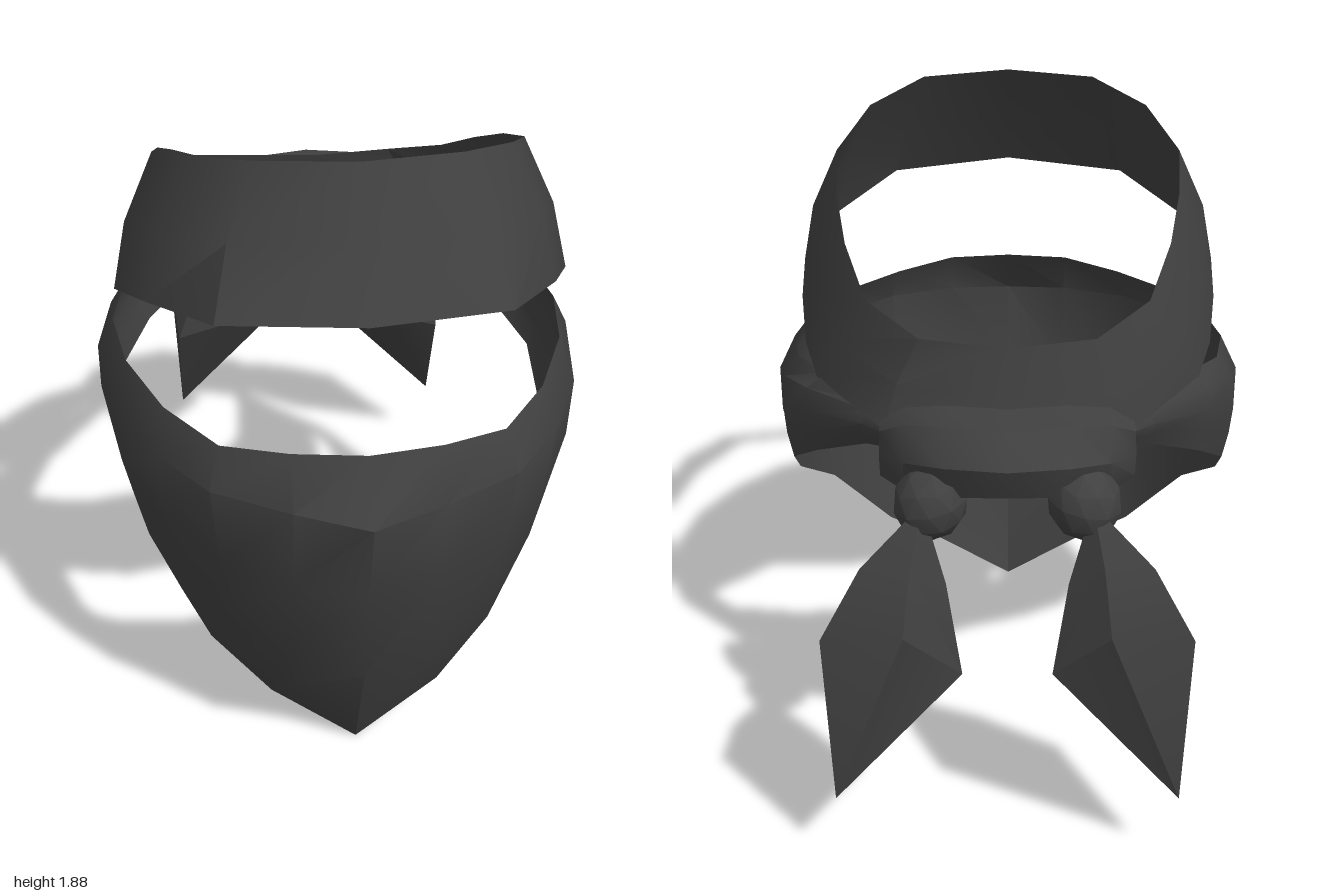
import * as THREE from 'three';
import { toCreasedNormals } from 'three/addons/utils/BufferGeometryUtils.js';

const cloth = new THREE.MeshStandardMaterial({ color: 0x404040, side: THREE.DoubleSide });
cloth.name = 'charcoal cloth';

// Skin a list of cross-sections (each a list of points); optionally close each section.
function skin(name, sections, closed = false, crease = 0.7) {
  const n = sections[0].length, index = [];
  for (let i = 0; i < sections.length - 1; i++) {
    for (let j = 0; j < (closed ? n : n - 1); j++) {
      const a = i * n + j, b = i * n + (j + 1) % n;
      index.push(a, a + n, b, b, a + n, b + n);
    }
  }
  const geo = new THREE.BufferGeometry();
  geo.setAttribute('position', new THREE.Float32BufferAttribute(sections.flat(2), 3));
  geo.setIndex(index);
  const mesh = new THREE.Mesh(toCreasedNormals(geo, crease), cloth);
  mesh.name = name;
  return mesh;
}

// Mirror half of the sections (first one at x = 0) to the other side.
const flip = (section) => section.map(([x, y, z]) => [-x, y, z]);
const mirrored = (half) => [...half.slice(1).reverse().map(flip), ...half];

function headband() {
  const top = [
    [0, 1.88, 0.66], [0.27, 1.87, 0.6], [0.43, 1.82, 0.43], [0.515, 1.74, 0.2], [0.5, 1.67, 0],
    [0.46, 1.58, -0.2], [0.39, 1.48, -0.39], [0.24, 1.42, -0.52], [0, 1.4, -0.54],
  ];
  const bottom = [
    [0, 1.53, 0.87], [0.38, 1.51, 0.78], [0.55, 1.45, 0.52], [0.64, 1.37, 0.28], [0.63, 1.31, 0.1],
    [0.6, 1.24, -0.1], [0.55, 1.2, -0.27], [0.34, 1.16, -0.54], [0, 1.15, -0.62],
  ];
  // A middle row swells slightly sideways.
  const half = top.map((t, i) => {
    const b = bottom[i];
    return [t, [(t[0] + b[0]) * 0.52, (t[1] + b[1]) / 2, (t[2] + b[2]) / 2], b];
  });
  return skin('headband', mirrored(half));
}

function faceMask() {
  // Each section runs: top hem, fold ridge, middle, lower, hem.
  const half = [
    [[0, 1.17, 0.89], [0, 1.01, 1.0], [0, 0.75, 0.93], [0, 0.4, 0.85], [0, 0, 0.66]],
    [[0.2, 1.17, 0.86], [0.2, 1.03, 0.93], [0.2, 0.76, 0.88], [0.22, 0.45, 0.8], [0.25, 0.17, 0.62]],
    [[0.38, 1.15, 0.77], [0.41, 1.04, 0.82], [0.39, 0.78, 0.78], [0.4, 0.53, 0.68], [0.42, 0.31, 0.52]],
    [[0.52, 1.16, 0.58], [0.55, 1.05, 0.64], [0.53, 0.83, 0.62], [0.52, 0.64, 0.56], [0.5, 0.43, 0.44]],
    [[0.62, 1.18, 0.35], [0.66, 1.06, 0.4], [0.65, 0.88, 0.4], [0.62, 0.73, 0.38], [0.59, 0.57, 0.34]],
    [[0.66, 1.18, 0.1], [0.71, 1.08, 0.08], [0.71, 0.94, 0.08], [0.69, 0.84, 0.08], [0.66, 0.75, 0.05]],
    [[0.62, 1.2, -0.12], [0.67, 1.13, -0.1], [0.68, 1.03, -0.1], [0.67, 0.95, -0.12], [0.65, 0.88, -0.14]],
    [[0.52, 1.22, -0.28], [0.58, 1.17, -0.28], [0.59, 1.1, -0.28], [0.58, 1.03, -0.28], [0.56, 0.97, -0.28]],
    [[0.36, 1.2, -0.46], [0.39, 1.18, -0.46], [0.41, 1.14, -0.46], [0.41, 1.1, -0.44], [0.4, 1.06, -0.42]],
    [[0.22, 1.18, -0.64], [0.23, 1.17, -0.64], [0.24, 1.15, -0.63], [0.24, 1.14, -0.62], [0.23, 1.12, -0.61]],
  ];
  return skin('faceMask', mirrored(half));
}

// Rounded, slightly irregular ring in the y-z plane.
function ring(x, yc, zc, ry, rz) {
  return Array.from({ length: 7 }, (_, k) => {
    const a = (k / 7) * Math.PI * 2 + 0.3;
    return [x, yc + ry * Math.sin(a), zc + rz * Math.cos(a)];
  });
}

// Broad wrapped cloth behind the head.
function knotWrap() {
  const half = [
    [0, 1.2, -0.77, 0.11, 0.145], [0.16, 1.19, -0.74, 0.12, 0.135], [0.27, 1.17, -0.69, 0.115, 0.11],
    [0.34, 1.15, -0.645, 0.08, 0.06], [0.34, 1.15, -0.645, 0.001, 0.001],
  ].map((s) => ring(...s));
  return skin('knotWrap', mirrored(half), true);
}

// Small tied lump above each tail.
function knotLump(side) {
  const geo = new THREE.IcosahedronGeometry(0.11, 1);
  geo.scale(0.9, 1, 0.95);
  const mesh = new THREE.Mesh(toCreasedNormals(geo, 0.5), cloth);
  mesh.position.set(side * 0.2, 1.08, -0.8);
  mesh.rotation.z = side * 0.4;
  mesh.name = side > 0 ? 'leftKnotLump' : 'rightKnotLump';
  return mesh;
}

// Leaf-shaped hanging end of the cloth.
function tail(side) {
  const top = [0.22, 1.1, -0.86], tip = [0.47, 0.24, -0.96];
  const middle = [[0.12, 0.62, -0.92], [0.27, 0.78, -1.0], [0.49, 0.75, -0.96], [0.47, 0.6, -0.8], [0.28, 0.66, -0.79]];
  const neck = middle.map((p) => p.map((v, i) => top[i] + (v - top[i]) * (i === 1 ? 0.45 : 0.6)));
  const sections = [middle.map(() => top), neck, middle, middle.map(() => tip)];
  return skin(side > 0 ? 'leftTail' : 'rightTail', side > 0 ? sections : sections.map(flip), true, 0.5);
}

export function createModel() {
  const group = new THREE.Group();
  group.name = 'tiedBandana';
  group.add(headband(), faceMask(), knotWrap());
  for (const side of [1, -1]) group.add(knotLump(side), tail(side));
  return group;
}
